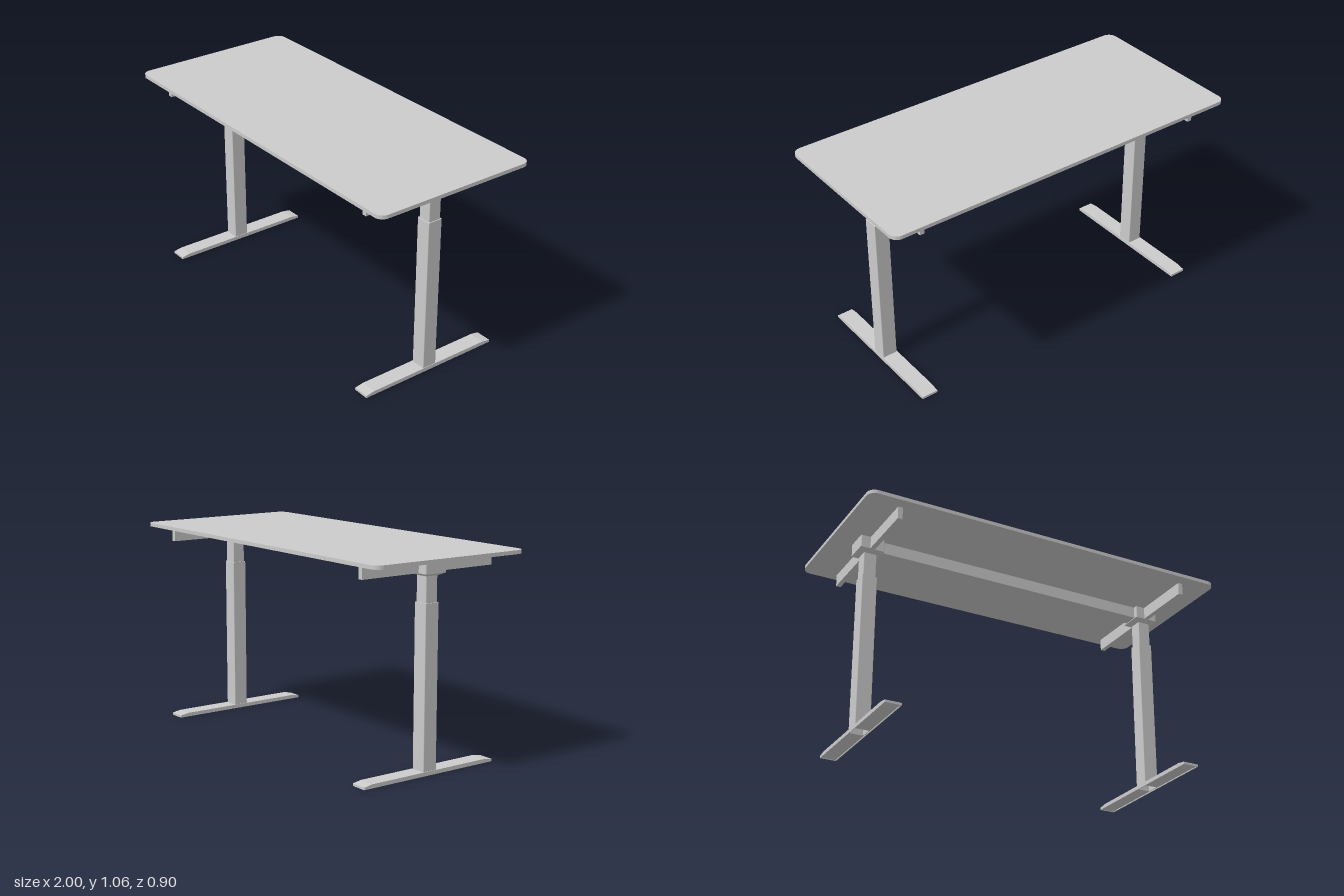
import * as THREE from 'three';

const material = new THREE.MeshStandardMaterial({ color: 0xcccccc });

function part(name, geometry, x = 0, y = 0, z = 0) {
  const mesh = new THREE.Mesh(geometry, material);
  mesh.name = name;
  mesh.position.set(x, y, z);
  return mesh;
}

// Rectangle with rounded corners, centred on the origin
function roundedRect(target, w, d, r) {
  const x = w / 2, y = d / 2;
  target.moveTo(x, -y + r);
  target.absarc(x - r, y - r, r, 0, Math.PI / 2);
  target.absarc(-x + r, y - r, r, Math.PI / 2, Math.PI);
  target.absarc(-x + r, -y + r, r, Math.PI, Math.PI * 1.5);
  target.absarc(x - r, -y + r, r, Math.PI * 1.5, Math.PI * 2);
  return target;
}

// Upright prism standing on y = 0, optionally a hollow tube
function prism(w, d, h, r, wall = 0) {
  const shape = roundedRect(new THREE.Shape(), w, d, r);
  if (wall) shape.holes.push(roundedRect(new THREE.Path(), w - 2 * wall, d - 2 * wall, r / 2));
  return new THREE.ExtrudeGeometry(shape, { depth: h, bevelEnabled: false, curveSegments: 8 })
    .rotateX(-Math.PI / 2);
}

// Side profile given as [z, y] points, extruded along x
function sideProfile(points, width) {
  const shape = new THREE.Shape(points.map(([z, y]) => new THREE.Vector2(z, y)));
  return new THREE.ExtrudeGeometry(shape, { depth: width, bevelEnabled: false })
    .translate(0, 0, -width / 2).rotateY(-Math.PI / 2);
}

// Foot: a shallow shell with sloped tips, recessed underneath and open below the leg
function createFoot() {
  const foot = new THREE.Group();
  foot.name = 'foot';
  const wall = 0.004, halfWidth = 0.043;
  const rim = [[-0.397, 0], [0.397, 0], [0.397, 0.012], [0.35, 0.02], [-0.35, 0.02], [-0.397, 0.012]];
  for (const s of [-1, 1]) {
    foot.add(part('footSideWall', sideProfile(rim, wall), s * (halfWidth - wall / 2)));
    const plate = [[0.036, 0.005], [0.35, 0.005], [0.393, 0.002], [0.393, 0],
      [0.397, 0], [0.397, 0.012], [0.35, 0.02], [0.036, 0.02]];
    const geometry = sideProfile(plate, 2 * (halfWidth - wall));
    if (s < 0) geometry.rotateY(Math.PI);
    foot.add(part('footPlate', geometry));
  }
  return foot;
}

// Housing at the top of the leg with its tapered underside
function createHousing() {
  const housing = new THREE.Group();
  housing.name = 'legHousing';
  housing.add(part('housingBox', prism(0.128, 0.124, 0.066, 0.005), 0, 0.971));
  const taper = new THREE.CylinderGeometry(0.062 * Math.SQRT2, 0.038 * Math.SQRT2, 0.013, 4)
    .rotateY(Math.PI / 4).toNonIndexed();
  taper.computeVertexNormals();
  housing.add(part('housingTaper', taper, 0, 0.9645));
  return housing;
}

function createLeg(side) {
  const leg = new THREE.Group();
  leg.name = side > 0 ? 'leftLeg' : 'rightLeg';
  leg.position.x = side * 0.816;
  leg.add(
    createFoot(),
    part('outerColumn', prism(0.08, 0.08, 0.824, 0.004, 0.005), 0, 0.005),
    part('innerColumn', prism(0.069, 0.069, 0.2, 0.004), 0, 0.763),
    createHousing(),
    part('supportArm', new THREE.BoxGeometry(0.025, 0.065, 0.786), 0, 1.0045)
  );
  return leg;
}

export function createModel() {
  const desk = new THREE.Group();
  desk.name = 'standingDesk';
  desk.add(
    part('tableTop', prism(2, 0.9, 0.019, 0.045), 0, 1.041),
    part('crossBeam', new THREE.BoxGeometry(1.51, 0.062, 0.08), 0, 1.006),
    createLeg(1),
    createLeg(-1)
  );
  return desk;
}
